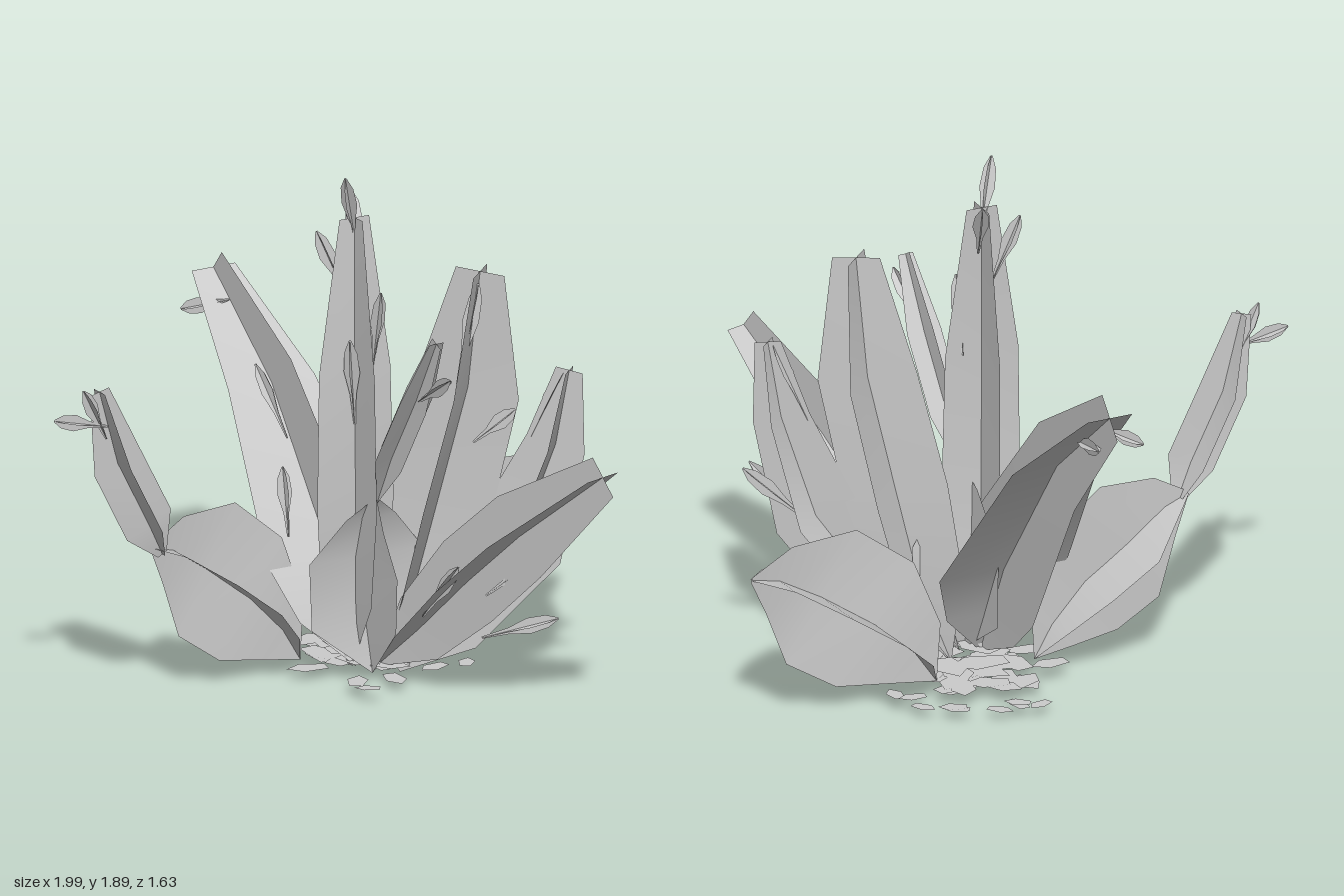
import * as THREE from 'three';

const material = new THREE.MeshStandardMaterial({ color: 0xcccccc, side: THREE.DoubleSide });

// Leaf of two thin blades crossing along a spine.
// sections: [x, y, z, half width]; heading: [x, z] the way the leaf leans
function crossedLeaf(name, heading, sections) {
  const points = sections.map(([x, y, z]) => new THREE.Vector3(x, y, z));
  const side = new THREE.Vector3(-heading[1], 0, heading[0]).normalize();
  const last = points.length - 1;
  const positions = [], index = [];
  for (const upright of [false, true]) {
    const start = positions.length / 3;
    points.forEach((p, i) => {
      const tangent = points[Math.min(i + 1, last)].clone().sub(points[Math.max(i - 1, 0)]);
      const across = upright ? side.clone().cross(tangent).normalize() : side;
      for (const s of [-1, 1]) positions.push(...p.clone().addScaledVector(across, s * sections[i][3]));
      if (i === last) return;
      const k = start + i * 2;
      index.push(k, k + 1, k + 2, k + 1, k + 3, k + 2);
    });
  }
  const g = new THREE.BufferGeometry();
  g.setAttribute('position', new THREE.Float32BufferAttribute(positions, 3));
  g.setIndex(index);
  g.computeVertexNormals();
  const mesh = new THREE.Mesh(g, material);
  mesh.name = name;
  return mesh;
}

// Small straight leaflet from one point to another
function leaflet(from, to) {
  const sections = [[0, 0.004], [0.35, 0.012], [0.62, 0.03], [0.85, 0.024], [1, 0.004]]
    .map(([t, w]) => [...from.map((v, i) => v + (to[i] - v) * t), w]);
  return crossedLeaf('leaflet', [to[0] - from[0], to[2] - from[2] + 0.001], sections);
}

// Broad low leaf with its base at the origin
const broadLeaf = name => crossedLeaf(name, [0.69, -0.73], [
  [0, 0.03, 0, 0], [0.06, 0.15, -0.06, 0.14], [0.17, 0.29, -0.18, 0.26],
  [0.33, 0.42, -0.3, 0.27], [0.44, 0.52, -0.44, 0.13], [0.51, 0.55, -0.54, 0.01]]);

export function createModel() {
  const group = new THREE.Group();
  group.name = 'plant';

  // Broad low leaves at the back and the front
  const back = broadLeaf('broadBackLeaf');
  back.position.set(-0.05, 0, -0.28);
  const front = broadLeaf('broadFrontLeaf');
  front.rotation.y = Math.PI;
  front.scale.set(0.83, 1, 0.83);
  front.position.set(-0.31, 0, 0.03);
  group.add(back, front);

  // Upright short leaf, and the blades growing from the two front leaf tips
  group.add(
    crossedLeaf('shortCentreLeaf', [1, 1], [
      [-0.03, 0.02, 0.08, 0], [-0.06, 0.2, 0.06, 0.22], [-0.06, 0.45, 0.06, 0.23],
      [-0.03, 0.61, 0.1, 0.1], [0, 0.69, 0.14, 0.01]]),
    crossedLeaf('frontTipBlade', [-0.7, 0.7], [
      [-0.7, 0.52, 0.45, 0.02], [-0.73, 0.65, 0.52, 0.1], [-0.82, 0.9, 0.61, 0.1], [-0.87, 1.18, 0.67, 0.04]]),
    crossedLeaf('centreTipBlade', [0.76, 0.65], [
      [0, 0.67, 0.13, 0], [0.07, 0.86, 0.19, 0.07], [0.19, 1.12, 0.29, 0.07], [0.29, 1.37, 0.38, 0.03]]));

  // Tall blades fanning out around the centre
  group.add(
    crossedLeaf('tallCentreBlade', [1, 1], [
      [-0.12, 0.03, 0.04, 0.01], [-0.1, 0.3, 0.08, 0.13], [-0.09, 0.65, 0.09, 0.155],
      [-0.09, 1.15, 0.1, 0.145], [-0.1, 1.71, 0.07, 0.06]]),
    crossedLeaf('backRightBlade', [-0.735, -0.68], [
      [-0.1, 0.03, 0.05, 0], [-0.16, 0.2, 0, 0.18], [-0.23, 0.4, -0.07, 0.26],
      [-0.52, 0.93, -0.34, 0.18], [-0.81, 1.25, -0.61, 0.09]]),
    crossedLeaf('backLeftBlade', [1, 0], [
      [-0.02, 0.03, -0.05, 0.01], [0.08, 0.3, -0.08, 0.17], [0.17, 0.65, -0.08, 0.2],
      [0.28, 1.07, -0.07, 0.19], [0.33, 1.51, -0.05, 0.09]]),
    crossedLeaf('leftBlade', [1, 0], [
      [0, 0.04, -0.04, 0.06], [0.2, 0.2, -0.07, 0.15], [0.47, 0.52, -0.08, 0.17],
      [0.6, 0.88, -0.08, 0.11], [0.65, 1.16, -0.08, 0.05]]),
    crossedLeaf('frontLeftBlade', [0.89, 0.45], [
      [-0.03, 0.03, 0.03, 0], [0.15, 0.21, 0.11, 0.13], [0.36, 0.44, 0.22, 0.17],
      [0.58, 0.66, 0.33, 0.165], [0.94, 0.97, 0.51, 0.08]]));

  // Leaflets sprouting along the blades
  const sprouts = [
    [[-0.1, 1.6, 0.05], [-0.11, 1.88, 0.15]],
    [[-0.1, 1.55, 0.03], [-0.15, 1.76, -0.07]],
    [[-0.13, 1.42, 0.08], [-0.22, 1.67, 0.14]],
    [[-0.04, 1.15, 0.04], [0, 1.44, 0.08]],
    [[-0.09, 0.95, 0.1], [-0.09, 1.28, 0.16]],
    [[-0.84, 1.05, 0.66], [-1, 1.1, 0.8]],
    [[-0.85, 1, 0.65], [-0.91, 1.2, 0.74]],
    [[-0.72, 1.17, -0.5], [-0.9, 1.12, -0.5]],
    [[-0.6, 1.08, -0.42], [-0.78, 1.13, -0.64]],
    [[-0.4, 0.8, -0.12], [-0.54, 1.04, -0.2]],
    [[-0.34, 0.5, 0.08], [-0.37, 0.75, 0.05]],
    [[0.26, 1.1, 0], [0.33, 1.47, -0.03]],
    [[0.2, 1.12, 0.3], [0.37, 1.27, 0.48]],
    [[0.33, 0.9, 0.04], [0.48, 1.03, 0.02]],
    [[0.5, 0.88, -0.08], [0.63, 1.15, -0.08]],
    [[0.5, 0.5, -0.08], [0.7, 0.72, -0.21]],
    [[0.5, 0.5, -0.08], [0.74, 0.67, -0.02]],
    [[0.2, 0.3, 0.24], [0.36, 0.53, 0.34]],
    [[0.45, 0.42, 0.3], [0.75, 0.67, 0.3]],
    [[0.35, 0.16, 0], [0.61, 0.23, -0.08]],
  ];
  sprouts.forEach(([a, b]) => group.add(leaflet(a, b)));

  // Flat litter scattered on the ground, larger towards the middle
  let seed = 7;
  const random = () => (seed = (seed * 16807) % 2147483647) / 2147483647;
  for (let i = 0; i < 55; i++) {
    const angle = random() * Math.PI * 2, reach = random();
    const size = 0.1 - 0.06 * reach;
    const flake = new THREE.Mesh(new THREE.CircleGeometry(size, 5), material);
    flake.rotation.set(-Math.PI / 2, 0, random() * 6);
    flake.scale.set(1.2, 0.7, 1);
    flake.position.set(-0.14 + Math.cos(angle) * reach * 0.44, 0.025 + random() * 0.025, -0.1 + Math.sin(angle) * reach * 0.46);
    flake.name = 'groundLitter';
    group.add(flake);
  }
  return group;
}
